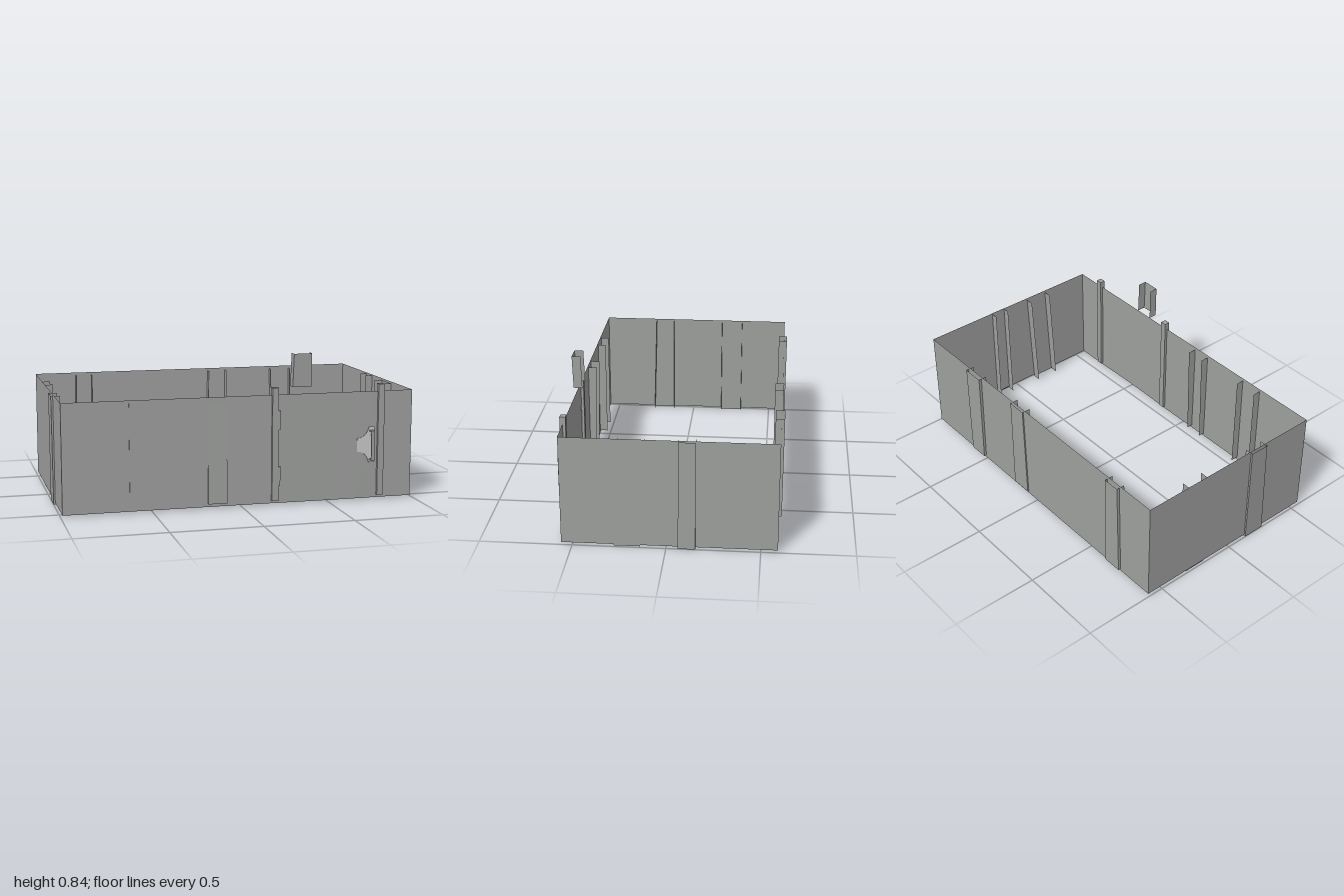
import * as THREE from 'three';

const grey = new THREE.MeshStandardMaterial({ color: 0x9fa19f, side: THREE.DoubleSide });
const pale = new THREE.MeshStandardMaterial({ color: 0xd2d6d5, side: THREE.DoubleSide });

export function createModel() {
  const root = new THREE.Group();
  const add = (name, geometry, x = 0, y = 0, z = 0, material = grey) => {
    const mesh = new THREE.Mesh(geometry, material);
    mesh.name = name;
    mesh.position.set(x, y, z);
    root.add(mesh);
    return mesh;
  };
  const box = (name, w, h, d, x, y, z) => add(name, new THREE.BoxGeometry(w, h, d), x, y, z);

  // Thin fence walls around an open yard
  const H = 0.607, midY = 0.3165, X = 0.99, front = 0.56, back = -0.59, P = Math.PI;
  const wall = (name, w, x, z, turn) => {
    add(name, new THREE.PlaneGeometry(w, H), x, midY, z).rotation.y = turn;
  };
  wall('frontWallLong', 1.178, -0.401, front, 0);
  wall('frontWallShort', 0.188, 0.896, front, 0);
  wall('backWall', 2 * X, 0, back, P);
  wall('rightWall', front - back, X, (front + back) / 2, P / 2);
  wall('leftWall', front - back, -X, (front + back) / 2, -P / 2);

  // Three-sided plank channel: a face with two returns pointing inward.
  // a, b: side edges at the top; da, db: sideways move of each edge at the foot;
  // pitch: move of the top along z
  const channel = (a, b, da, db, y0, y1, pitch, depth) => {
    const g = new THREE.PlaneGeometry(1, 1, 3, 1).toNonIndexed();
    const p = g.attributes.position;
    for (let i = 0; i < p.count; i++) {
      const k = Math.round((p.getX(i) + 0.5) * 3);
      const top = p.getY(i) > 0;
      const edge = k < 2 ? a : b;
      const foot = k < 2 ? da : db;
      p.setXYZ(i, edge + (top ? 0 : foot), top ? y1 : y0,
        (k === 0 || k === 3 ? -depth : 0) + (top ? pitch : 0));
    }
    g.computeVertexNormals();
    return g;
  };

  // Planks: name, turn, face x, face z, edges a and b, foot moves, foot, top, pitch
  const planks = [
    ['frontPlank', 0, 0, 0.573, -0.192, -0.085, 0, 0, 0.03, 0.605, -0.0135],
    ['frontPlank', 0, 0, 0.5635, -0.625, -0.49, 0, 0, 0.03, 0.605, 0],
    ['backPlank', P, 0, -0.605, -0.62, -0.493, 0, -0.01, 0.025, 0.605, 0.002],
    ['backPlank', P, 0, -0.597, -0.2, -0.088, 0, 0.012, 0.025, 0.605, 0],
    ['backPlank', P, 0, -0.605, 0.65, 0.747, 0, 0.012, 0.025, 0.605, 0.002],
    ['rightPlank', P / 2, 0.998, 0, 0.066, 0.155, -0.004, 0, 0.003, 0.615, 0],
    ['rightPlank', P / 2, 0.986, 0, -0.25, -0.11, -0.03, -0.03, 0.003, 0.61, 0],
    ['leftPlank', -P / 2, -0.999, 0, 0.13, 0.242, 0, 0.016, 0.003, 0.61, 0.002],
    ['leftPlank', -P / 2, -0.986, 0, -0.315, -0.185, 0, 0, 0.003, 0.61, 0],
  ];
  for (const [name, turn, x, z, a, b, da, db, y0, y1, pitch] of planks) {
    add(name, channel(a, b, da, db, y0, y1, pitch, 0.05), x, 0, z).rotation.y = turn;
  }

  // Loose plank piece above the gate
  add('loosePlank', channel(0.29, 0.392, -0.005, 0, 0.66, 0.844, 0.006, 0.049), 0, 0, 0.569);

  // Gate posts and hinges
  for (const x of [0.187, 0.803]) box('gatePost', 0.036, 0.632, 0.032, x, 0.344, 0.56);
  for (const y of [0.165, 0.478]) box('hinge', 0.014, 0.107, 0.012, 0.21, y, 0.565);

  // Gate panel, bulging slightly at the foot
  const panel = new THREE.PlaneGeometry(0.616, H, 8, 1);
  const v = panel.attributes.position;
  for (let i = 0; i < v.count; i++) {
    if (v.getY(i) < 0) v.setZ(i, 0.005 * Math.cos(v.getX(i) / 0.616 * P));
  }
  panel.computeVertexNormals();
  add('gatePanel', panel, 0.495, midY, front);

  // Handle plate, flared towards the latch side
  const s = new THREE.Shape();
  s.moveTo(0.767, 0.217);
  s.lineTo(0.767, 0.42);
  s.lineTo(0.735, 0.42);
  s.quadraticCurveTo(0.718, 0.358, 0.665, 0.356);
  s.lineTo(0.665, 0.281);
  s.quadraticCurveTo(0.718, 0.279, 0.735, 0.217);
  add('handlePlate', new THREE.ExtrudeGeometry(s, { depth: 0.004, bevelEnabled: false, curveSegments: 6 }),
    0, 0, 0.565, pale);

  // Handle bar on two stems
  box('handleBar', 0.02, 0.17, 0.007, 0.746, 0.317, 0.602);
  for (const y of [0.2355, 0.3985]) box('handleStem', 0.02, 0.007, 0.034, 0.746, y, 0.583);

  return root;
}
